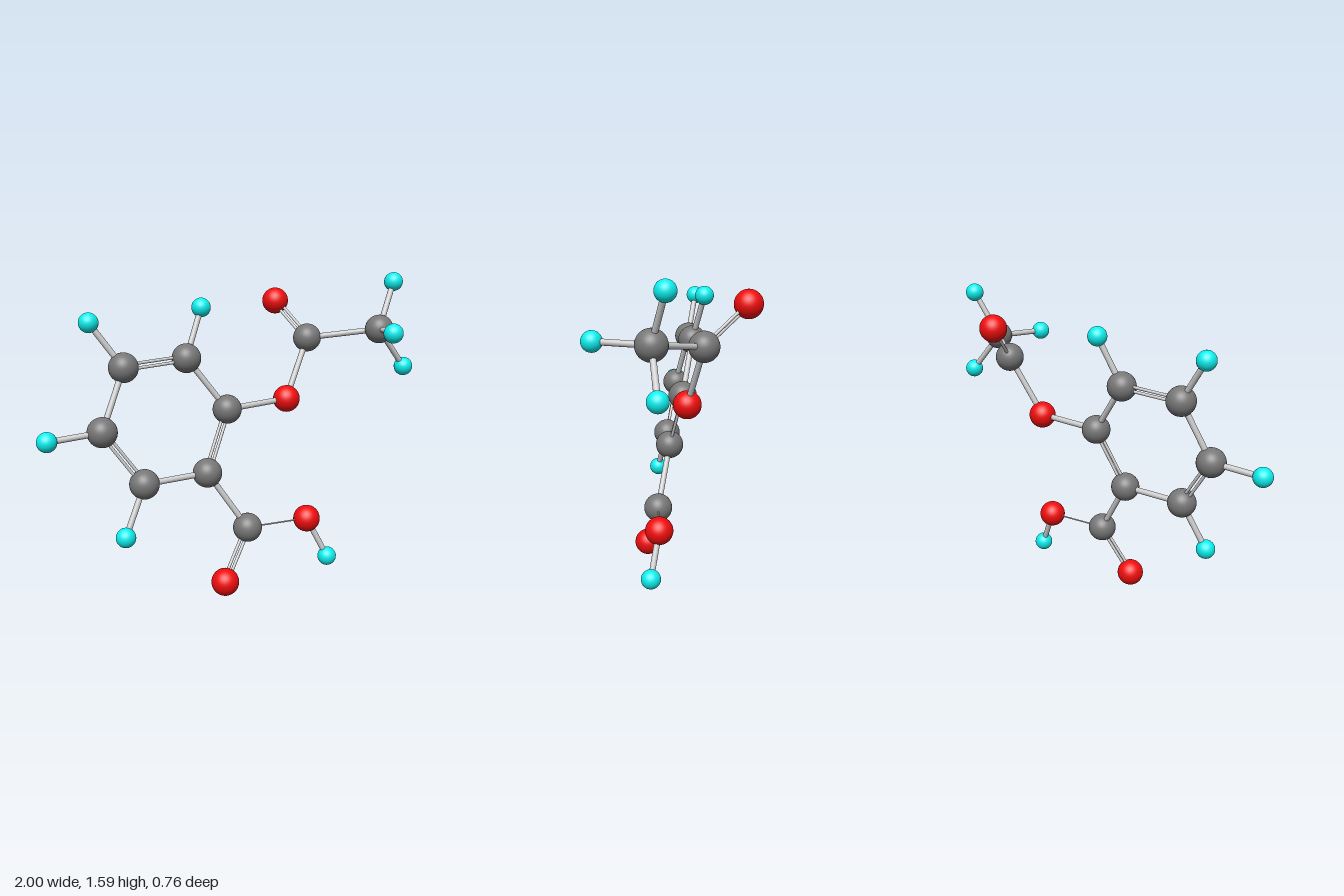
import * as THREE from 'three';

// Element styles: radius, colour, name
const ELEMENTS = {
  C: { radius: 0.074, color: 0x777777, name: 'carbonAtom' },
  O: { radius: 0.07, color: 0xf00d0d, name: 'oxygenAtom' },
  H: { radius: 0.049, color: 0x0deeee, name: 'hydrogenAtom' },
};

// Atom centres
const ATOMS = {
  // six-sided ring
  C1: [-0.04, 0.92, 0.07], C2: [-0.245, 1.185, 0.053], C3: [-0.57, 1.158, 0.13],
  C4: [-0.69, 0.863, 0.225], C5: [-0.495, 0.6, 0.243], C6: [-0.165, 0.617, 0.165],
  H2: [-0.152, 1.43, -0.027], H3: [-0.73, 1.377, 0.115],
  H4: [-0.953, 0.842, 0.285], H5: [-0.6, 0.36, 0.318],
  // lower acid branch
  C7: [0.038, 0.323, 0.19], O7: [-0.1, 0.073, 0.277],
  O8: [0.38, 0.323, 0.116], H8: [0.49, 0.112, 0.137],
  // upper ester branch
  O9: [0.3, 0.947, -0.012], C9: [0.443, 1.254, -0.116], O10: [0.32, 1.44, -0.306],
  C10: [0.78, 1.308, 0.06], H11: [0.887, 1.548, -0.023],
  H12: [0.95, 1.1, 0], H13: [0.74, 1.312, 0.333],
};

const SINGLE = [
  'C1 C2', 'C3 C4', 'C5 C6', 'C2 H2', 'C3 H3', 'C4 H4', 'C5 H5', 'C6 C7', 'O8 H8',
  'C1 O9', 'O9 C9', 'C9 C10', 'C10 H11', 'C10 H12', 'C10 H13',
];
// Third atom fixes the plane in which the two rods lie side by side
const DOUBLE = ['C2 C3 C1', 'C4 C5 C3', 'C6 C1 C5', 'C7 O7 C6', 'C9 O10 C10'];
const THIN = ['C7 O8'];

const UP = new THREE.Vector3(0, 1, 0);
const at = (id) => new THREE.Vector3(...ATOMS[id]);

export function createModel() {
  const model = new THREE.Group();
  model.name = 'molecule';
  const bondMaterial = new THREE.MeshStandardMaterial({ color: 0xcccccc });

  // Atoms
  const kinds = {};
  for (const [key, e] of Object.entries(ELEMENTS)) {
    kinds[key] = {
      geometry: new THREE.SphereGeometry(e.radius, 40, 28),
      material: new THREE.MeshStandardMaterial({ color: e.color }),
    };
  }
  for (const id of Object.keys(ATOMS)) {
    const kind = kinds[id[0]];
    const atom = new THREE.Mesh(kind.geometry, kind.material);
    atom.name = ELEMENTS[id[0]].name;
    atom.position.copy(at(id));
    model.add(atom);
  }

  // Rod between two points
  function addRod(a, b, radius, name) {
    const dir = b.clone().sub(a);
    const rod = new THREE.Mesh(
      new THREE.CylinderGeometry(radius, radius, dir.length(), 20), bondMaterial);
    rod.position.copy(a).add(b).multiplyScalar(0.5);
    rod.quaternion.setFromUnitVectors(UP, dir.normalize());
    rod.name = name;
    model.add(rod);
  }

  // Bonds
  const addSimple = (list, radius, name) => list.forEach((pair) => {
    const [a, b] = pair.split(' ').map(at);
    addRod(a, b, radius, name);
  });
  addSimple(SINGLE, 0.015, 'singleBond');
  addSimple(THIN, 0.004, 'thinBond');

  for (const triple of DOUBLE) {
    const [a, b, c] = triple.split(' ').map(at);
    const dir = b.clone().sub(a).normalize();
    const side = c.sub(a);
    side.addScaledVector(dir, -side.dot(dir)).setLength(0.012);
    for (const s of [-1, 1]) {
      addRod(a.clone().addScaledVector(side, s), b.clone().addScaledVector(side, s),
        0.008, 'doubleBond');
    }
  }
  return model;
}
